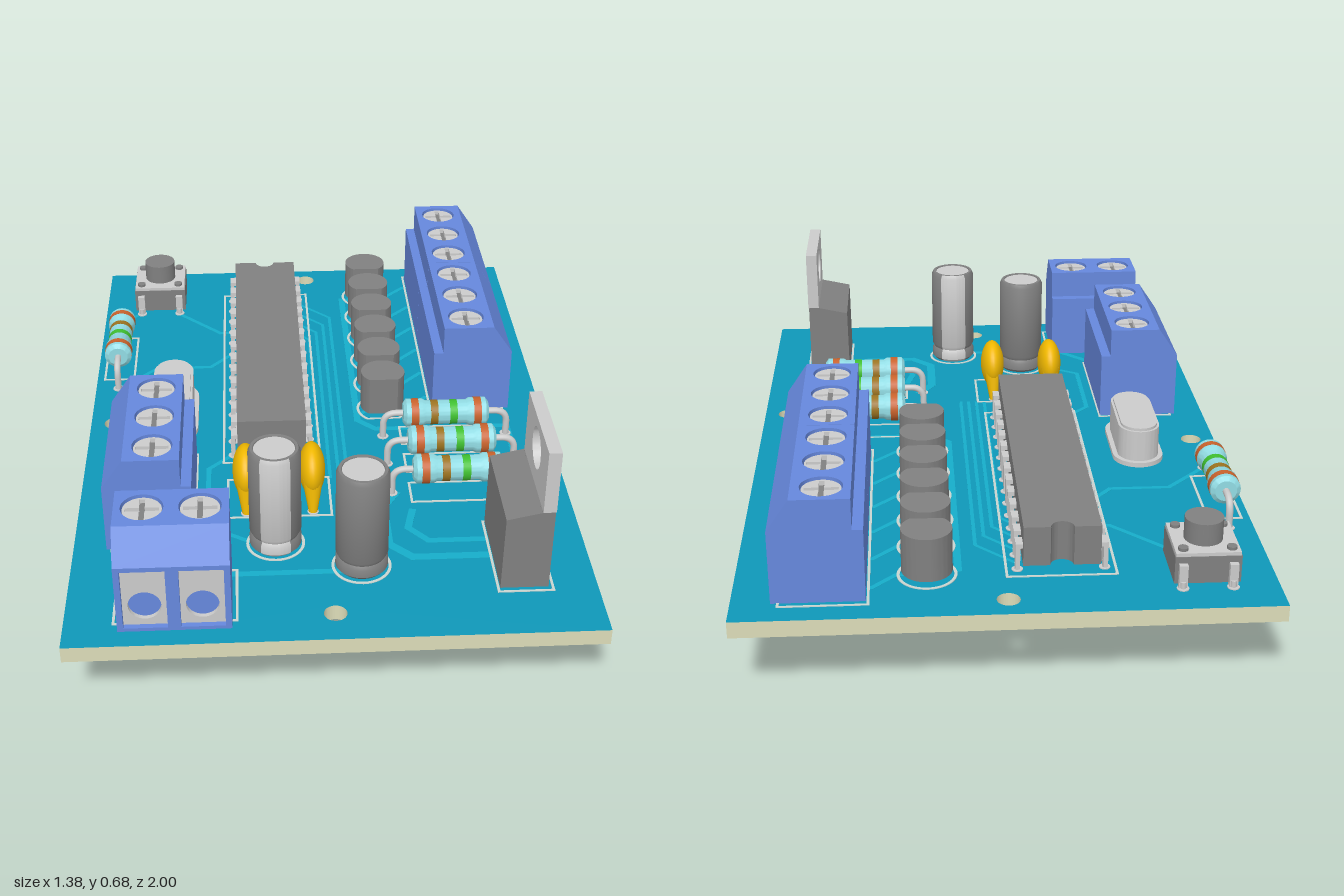
import * as THREE from 'three';
import { toCreasedNormals } from 'three/addons/utils/BufferGeometryUtils.js';

const mat = (color) => new THREE.MeshStandardMaterial({ color });
const M = {
  grey: mat(0xcccccc), dark: mat(0x808080), blue: mat(0x6688dd), teal: mat(0x0f98b8), edge: mat(0xdcdcb8),
  trace: mat(0x16adc9), silk: mat(0xc8d4d0), yellow: mat(0xf0b800), cyan: mat(0x92dce4),
  brown: mat(0x9c7320), green: mat(0x3fbf30), orange: mat(0xc8622c),
};
const TOP = 0.25, BOTTOM = 0.205;

function add(parent, name, geo, material, x = 0, y = 0, z = 0) {
  const mesh = new THREE.Mesh(geo, material);
  mesh.name = name;
  mesh.position.set(x, y, z);
  parent.add(mesh);
  return mesh;
}
function group(parent, name, x = 0, y = 0, z = 0, turn = 0) {
  const g = new THREE.Group();
  g.name = name;
  g.position.set(x, y, z);
  g.rotation.y = turn;
  parent.add(g);
  return g;
}
const box = (w, h, d) => new THREE.BoxGeometry(w, h, d);
const cyl = (r, h, n = 28) => new THREE.CylinderGeometry(r, r, h, n);
const poly = (pts) => new THREE.Shape(pts.map((p) => new THREE.Vector2(...p)));
const rect = (w, h, x = 0, y = 0) => poly([[x - w / 2, y - h / 2], [x + w / 2, y - h / 2], [x + w / 2, y + h / 2], [x - w / 2, y + h / 2]]);
const circle = (r, x = 0, y = 0) => new THREE.Shape().absarc(x, y, r, 0, Math.PI * 2);
const holed = (shape, ...holes) => { shape.holes.push(...holes); return shape; };
const extrude = (shape, depth) => toCreasedNormals(
  new THREE.ExtrudeGeometry(shape, { depth, bevelEnabled: false, curveSegments: 20 }), 0.6);
// plan shape (shape y = -z) raised upwards
const raise = (shape, h) => extrude(shape, h).rotateX(-Math.PI / 2);
// side profile (z, y) swept across x, centred
const sweep = (shape, w) => extrude(shape, w).translate(0, 0, -w / 2).rotateY(-Math.PI / 2);
const lathe = (pts, a = 0, len = Math.PI * 2) => toCreasedNormals(
  new THREE.LatheGeometry(pts.map((p) => new THREE.Vector2(...p)), 36, a, len), 0.6);
const stadium = (r, half) => new THREE.Shape().absarc(0, half, r, 0, Math.PI).absarc(0, -half, r, Math.PI, Math.PI * 2);

// pin through the board with a solder pad
function pin(g, x, z, low, high = TOP + 0.02, r = 0.008) {
  add(g, 'pin', cyl(r, high - low, 10), M.grey, x, (high + low) / 2, z);
  add(g, 'pad', cyl(r + 0.008, 0.05, 14), M.grey, x, 0.2275, z);
}

function terminalBlock(root, n, x, z, turn) {
  const g = group(root, 'terminalBlock', x, TOP, z, turn), pitch = 0.145, w = n * pitch - 0.002;
  add(g, 'blockBody', sweep(poly([[-0.118, 0], [0.09, 0], [0.09, 0.2], [0.118, 0.2], [0.06, 0.285],
    [0.06, 0.255], [-0.09, 0.255], [-0.09, 0.2], [-0.118, 0.2]]), w), M.blue);
  const face = rect(w, 0.2, 0, 0.1), lid = rect(w, 0.15, 0, 0.015);
  for (let i = 0; i < n; i++) {
    const px = (i - (n - 1) / 2) * pitch;
    face.holes.push(rect(0.112, 0.177, px, 0.0985));
    lid.holes.push(circle(0.054, px, 0.017));
    add(g, 'wireCage', extrude(holed(rect(0.112, 0.177, px, 0.0985), circle(0.042, px, 0.07)), 0.012), M.grey, 0, 0, 0.091);
    const a = 0.007, b = 0.043;
    const cross = poly([[-a, -b], [a, -b], [a, -a], [b, -a], [b, a], [a, a], [a, b], [-a, b], [-a, a], [-b, a], [-b, -a], [-a, -a]]);
    add(g, 'screwHead', raise(holed(circle(0.05), cross), 0.014), M.grey, px, 0.264, -0.017);
    add(g, 'screwBase', cyl(0.05, 0.012), M.dark, px, 0.26, -0.017);
    pin(g, px, -0.017, -0.06, 0.01, 0.012);
    g.children.at(-1).position.y = 0.2275 - TOP;
  }
  add(g, 'blockFace', extrude(face, 0.028), M.blue, 0, 0, 0.09);
  add(g, 'blockLid', raise(lid, 0.03), M.blue, 0, 0.255, 0);
}

function resistor(root, x, z, turn) {
  const g = group(root, 'resistor', x, 0, z, turn), y = 0.332;
  const prof = [[0, -0.127], [0.03, -0.127], [0.042, -0.118], [0.042, -0.07], [0.036, -0.06],
    [0.036, 0.06], [0.042, 0.07], [0.042, 0.118], [0.03, 0.127], [0, 0.127]];
  add(g, 'resistorBody', lathe(prof).rotateZ(-Math.PI / 2), M.cyan, 0, y);
  [[-0.093, 0.0428, M.orange], [-0.035, 0.0368, M.brown], [0.022, 0.0368, M.green], [0.093, 0.0428, M.orange]]
    .forEach(([bx, r, m]) => add(g, 'colourBand', cyl(r, 0.022).rotateZ(Math.PI / 2), m, bx, y));
  for (const s of [-1, 1]) {
    const path = new THREE.CurvePath();
    const v = (a, b) => new THREE.Vector3(s * a, b, 0);
    path.add(new THREE.LineCurve3(v(0.12, y), v(0.145, y)));
    path.add(new THREE.QuadraticBezierCurve3(v(0.145, y), v(0.185, y), v(0.185, y - 0.04)));
    path.add(new THREE.LineCurve3(v(0.185, y - 0.04), v(0.185, TOP)));
    add(g, 'lead', new THREE.TubeGeometry(path, 24, 0.01, 10), M.grey);
    pin(g, s * 0.185, 0, 0.11, TOP + 0.01, 0.009);
  }
  outline(g, 0, 0, 0.27, 0.1);
}

// printed frame and flat tracks on the board
function outline(g, x, z, w, d) {
  add(g, 'printedOutline', raise(holed(rect(w, d), rect(w - 0.014, d - 0.014)), 0.002), M.silk, x, TOP, z);
}
function track(g, pts, w = 0.014) {
  for (let i = 1; i < pts.length; i++) {
    const [ax, az] = pts[i - 1], [bx, bz] = pts[i];
    const m = add(g, 'track', box(Math.hypot(bx - ax, bz - az) + w * 0.6, 0.0015, w), M.trace, (ax + bx) / 2, TOP, (az + bz) / 2);
    m.rotation.y = -Math.atan2(bz - az, bx - ax);
  }
}

function chip(root) {
  const g = group(root, 'chip', -0.145, 0, -0.305);
  const s = poly([[-0.1, 0.505], [-0.1, -0.505], [0.1, -0.505], [0.1, 0.505], [0.03, 0.505]]);
  s.absarc(0, 0.505, 0.03, 0, Math.PI, true);
  add(g, 'chipBody', raise(s, 0.11), M.dark, 0, 0.275);
  for (let i = 0; i < 14; i++) for (const e of [-1, 1]) {
    const z = (i - 6.5) * 0.0735;
    add(g, 'pinShoulder', box(0.03, 0.012, 0.04), M.grey, e * 0.103, 0.327, z);
    add(g, 'pinLeg', box(0.012, 0.073, 0.04), M.grey, e * 0.113, 0.2965, z);
    pin(g, e * 0.113, z, 0.15, 0.27, 0.007);
  }
  outline(g, 0, 0, 0.29, 1.04);
}

function transistor(root, x, z) {
  const g = group(root, 'transistor', x, 0, z), a = Math.asin(0.05 / 0.066);
  const d = (r) => new THREE.Shape().absarc(0, 0, r, -a, Math.PI + a);
  add(g, 'transistorBody', raise(d(0.066), 0.12), M.dark, 0, 0.265);
  add(g, 'printedOutline', raise(holed(d(0.078), d(0.07)), 0.002), M.silk, 0, TOP);
  for (const px of [-0.037, 0, 0.037]) pin(g, px, 0, 0.11);
}

function electrolytic(root, x, z, stripeAngle) {
  const g = group(root, 'electrolyticCapacitor', x, TOP, z);
  const prof = (o) => [[0.062 + o, 0.003], [0.07 + o, 0.012], [0.07 + o, 0.035], [0.064 + o, 0.045], [0.07 + o, 0.057],
    [0.07 + o, 0.3], [0.064 + o, 0.312]];
  add(g, 'canSleeve', lathe([[0, 0.003], ...prof(0), [0.056, 0.312], [0.054, 0.306], [0, 0.306]]), M.dark);
  add(g, 'canTop', cyl(0.055, 0.004), M.grey, 0, 0.307);
  add(g, 'polarityStripe', lathe(prof(0.001), stripeAngle - 0.6, 1.2), M.grey);
  add(g, 'printedRing', raise(holed(circle(0.08), circle(0.072)), 0.002), M.silk);
  for (const s of [-1, 1]) pin(root, x + s * 0.032, z, 0.11);
}

function ceramic(root, x, z) {
  const g = group(root, 'ceramicCapacitor', x, 0, z);
  add(g, 'disc', new THREE.SphereGeometry(1, 32, 20).scale(0.037, 0.074, 0.078), M.yellow, 0, 0.348);
  for (const s of [-1, 1]) {
    const leg = add(g, 'coatedLeg', new THREE.CylinderGeometry(0.03, 0.012, 0.1, 16), M.yellow, 0, 0.297, s * 0.057);
    leg.rotation.x = -s * 0.3;
    pin(g, 0, s * 0.072, 0.15);
  }
  outline(g, 0, 0, 0.11, 0.19);
}

function regulator(root) {
  const g = group(root, 'voltageRegulator', 0, 0, 0.685);
  // profile across x, swept along z
  add(g, 'regulatorBody', extrude(poly([[0.432, 0.258], [0.558, 0.258], [0.558, 0.345], [0.526, 0.345],
    [0.526, 0.495], [0.434, 0.475]]), 0.29).translate(0, 0, -0.145), M.dark);
  for (const s of [-1, 1]) add(g, 'regulatorCheek', box(0.034, 0.15, 0.036), M.dark, 0.541, 0.42, s * 0.127);
  add(g, 'heatTab', extrude(holed(poly([[-0.108, 0.345], [0.108, 0.345], [0.108, 0.495], [0.145, 0.495], [0.145, 0.675],
    [-0.145, 0.675], [-0.145, 0.495], [-0.108, 0.495]]), circle(0.056, 0, 0.595)), 0.034).rotateY(Math.PI / 2), M.grey, 0.526);
  for (const z of [-0.075, 0, 0.075]) {
    add(g, 'wideLead', box(0.012, 0.13, 0.026), M.grey, 0.48, 0.2, z);
    add(g, 'lead', box(0.01, 0.2, 0.016), M.grey, 0.48, 0.1, z);
  }
  outline(g, 0.5, 0, 0.15, 0.31);
}

function button(root, x, z) {
  const g = group(root, 'pushButton', x, 0, z);
  add(g, 'buttonBase', box(0.17, 0.075, 0.17), M.dark, 0, 0.295);
  add(g, 'buttonPlate', box(0.166, 0.01, 0.166), M.grey, 0, 0.337);
  add(g, 'buttonKnob', cyl(0.05, 0.065), M.dark, 0, 0.37);
  for (const a of [-1, 1]) for (const b of [-1, 1]) {
    add(g, 'rivet', cyl(0.013, 0.01, 14), M.dark, a * 0.062, 0.345, b * 0.062);
    add(g, 'foot', box(0.022, 0.07, 0.016), M.grey, a * 0.064, 0.28, b * 0.092);
    pin(g, a * 0.064, b * 0.098, 0.15);
  }
}

function crystal(root, x, z) {
  const g = group(root, 'crystal', x, 0, z);
  add(g, 'crystalFlange', raise(stadium(0.074, 0.085), 0.014), M.grey, 0, 0.253);
  add(g, 'crystalCan', raise(stadium(0.06, 0.085), 0.095), M.grey, 0, 0.265);
  add(g, 'crystalTop', raise(stadium(0.053, 0.085), 0.008), M.grey, 0, 0.36);
  for (const s of [-1, 1]) pin(g, 0, s * 0.09, 0.15);
}

export function createModel() {
  const root = new THREE.Group();
  root.name = 'circuitBoard';

  // board with four mounting holes
  const plan = holed(rect(1.38, 2), ...[[0, -0.93], [-0.62, -0.02], [0.62, 0.24], [0, 0.9]].map(([x, z]) => circle(0.03, x, -z)));
  const board = new THREE.ExtrudeGeometry(plan, { depth: TOP - BOTTOM, bevelEnabled: false, curveSegments: 20 });
  add(root, 'board', board.rotateX(-Math.PI / 2), [M.teal, M.edge], 0, BOTTOM);

  terminalBlock(root, 3, 0.472, -0.702, Math.PI / 2);
  terminalBlock(root, 3, 0.472, -0.267, Math.PI / 2);
  terminalBlock(root, 3, -0.483, 0.39, -Math.PI / 2);
  terminalBlock(root, 2, -0.407, 0.827, 0);
  outline(root, 0.46, -0.49, 0.23, 0.9);
  outline(root, -0.475, 0.39, 0.23, 0.46);
  outline(root, -0.407, 0.815, 0.32, 0.21);

  chip(root);
  for (let i = 0; i < 6; i++) transistor(root, 0.2, -0.795 + i * 0.1465);
  for (const z of [0.092, 0.238, 0.385]) resistor(root, 0.375, z, 0);
  resistor(root, -0.62, -0.407, -Math.PI / 2);
  electrolytic(root, -0.145, 0.6, 0);
  electrolytic(root, 0.08, 0.708, Math.PI);
  ceramic(root, -0.222, 0.39);
  ceramic(root, -0.037, 0.39);
  regulator(root);
  button(root, -0.505, -0.805);
  crystal(root, -0.438, -0.055);

  // copper tracks
  for (let i = 0; i < 6; i++) {
    const z = -0.795 + i * 0.1465;
    track(root, [[0.24, z], [0.28, z], [0.34, z - 0.06], [0.44, z - 0.06]]);
    track(root, [[0.16, z], [0.12, z + 0.04]]);
  }
  track(root, [[0.12, -0.78], [0.12, 0.0], [0.17, 0.05], [0.57, 0.05], [0.57, 0.5], [0.58, 0.56]], 0.02);
  track(root, [[0.2, 0.385], [0.16, 0.45], [0.16, 0.62], [0.22, 0.68], [0.48, 0.68]], 0.026);
  track(root, [[0.24, 0.47], [0.22, 0.55], [0.27, 0.61], [0.48, 0.61]], 0.02);
  track(root, [[-0.48, 0.53], [-0.28, 0.73], [0.05, 0.73]], 0.02);
  track(root, [[-0.26, 0.17], [-0.33, 0.24], [-0.33, 0.52], [-0.2, 0.6]]);
  track(root, [[-0.62, -0.22], [-0.5, -0.34], [-0.33, -0.34], [-0.26, -0.42]]);
  track(root, [[-0.62, -0.59], [-0.62, -0.66], [-0.57, -0.71]]);
  track(root, [[-0.44, -0.7], [-0.3, -0.56], [-0.26, -0.56]]);
  for (let i = 0; i < 4; i++) track(root, [[-0.03, -0.75 + i * 0.0735], [0.07 - i * 0.025, -0.65 + i * 0.05], [0.07 - i * 0.025, 0.3]], 0.01);
  return root;
}
